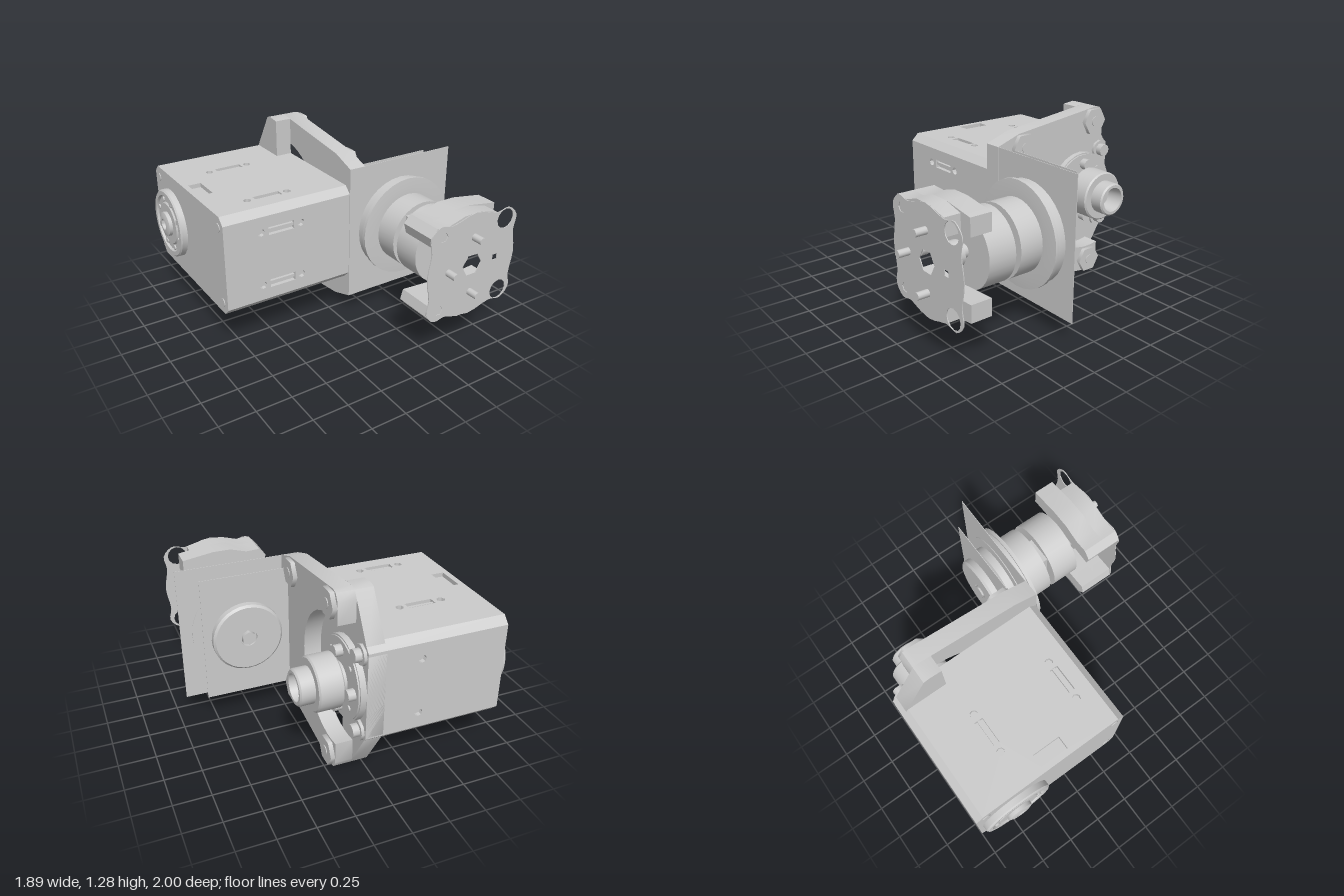
import * as THREE from 'three';
import { toCreasedNormals } from 'three/addons/utils/BufferGeometryUtils.js';

const grey = new THREE.MeshStandardMaterial({ color: 0xcccccc, side: THREE.DoubleSide });
const V = (p) => p.map(([x, y]) => new THREE.Vector2(x, y));
const MID = 0.64; // height of both axes
const HUB_Z = -0.72; // motor axis
const OUT_X = 0.51; // output axis

export function createModel() {
  const root = new THREE.Group();

  const add = (name, geo, parent = root) => {
    const m = new THREE.Mesh(geo, grey);
    m.name = name;
    parent.add(m);
    return m;
  };
  const group = (name) => {
    const g = new THREE.Group();
    g.name = name;
    root.add(g);
    return g;
  };
  // extrude a (z, y) outline from x0 to x1
  const extrudeX = (name, pts, x0, x1, parent) => {
    const g = new THREE.ExtrudeGeometry(new THREE.Shape(V(pts.map(([z, y]) => [-z, y]))), { depth: x1 - x0, bevelEnabled: false });
    g.rotateY(Math.PI / 2).translate(x0, 0, 0);
    return add(name, toCreasedNormals(g, 0.6), parent);
  };
  // extrude an (x, y) shape from z0 to z1
  const extrudeZ = (name, shape, z0, z1, parent) => {
    const g = new THREE.ExtrudeGeometry(shape, { depth: z1 - z0, bevelEnabled: false });
    return add(name, toCreasedNormals(g.translate(0, 0, z0), 0.6), parent);
  };
  const cylX = (name, x0, x1, z, y, r, sides = 24, parent = root) =>
    add(name, new THREE.CylinderGeometry(r, r, x1 - x0, sides).rotateZ(-Math.PI / 2).translate((x0 + x1) / 2, y, z), parent);
  const cylZ = (name, z0, z1, x, y, r, sides = 24, parent = root) =>
    add(name, new THREE.CylinderGeometry(r, r, z1 - z0, sides).rotateX(Math.PI / 2).translate(x, y, (z0 + z1) / 2), parent);
  // stepped turned part: profile of [radius, distance along the axis]
  const turned = (name, prof, sides = 32) => toCreasedNormals(new THREE.LatheGeometry(V(prof), sides), 0.6);
  const circle = (x, y, r, n = 16) => {
    const p = new THREE.Path();
    p.setFromPoints(Array.from({ length: n }, (_, i) => new THREE.Vector2(x + r * Math.cos((i / n) * 2 * Math.PI), y + r * Math.sin((i / n) * 2 * Math.PI))));
    return p;
  };
  const rect = (x, y, w, h) => new THREE.Path(V([[x - w / 2, y - h / 2], [x + w / 2, y - h / 2], [x + w / 2, y + h / 2], [x - w / 2, y + h / 2]]));

  // ---- motor housing: chamfered core plus slotted cover plates
  const housing = group('motorHousing');
  const cy = 0.645, cz = -0.43, hy = 0.355, hz = 0.57, c = 0.05, d = 0.03;
  const quarter = [[hz - c, hy - d], [hz - c, hy], [hz, hy - c], [hz - d, hy - c]];
  const ring = [];
  [[1, 1], [1, -1], [-1, -1], [-1, 1]].forEach(([sz, sy]) => {
    const q = quarter.map(([z, y]) => [cz + sz * z, cy + sy * y]);
    ring.push(...(sz * sy > 0 ? q : q.reverse()));
  });
  extrudeX('housingCore', ring, -0.87, 0.08, housing);

  const cover = (name, half, slots, window) => {
    const s = new THREE.Shape(V([[-0.87, -half], [0.08, -half], [0.08, half], [-0.87, half]]));
    slots.forEach((v) => {
      s.holes.push(rect(-0.455, v, 0.19, 0.06), circle(-0.605, v, 0.027, 8), circle(-0.31, v, 0.027, 8));
    });
    if (window !== undefined) s.holes.push(rect(-0.785, window, 0.09, 0.2));
    const m = extrudeZ(name, s, 0, d, housing);
    slots.forEach((v) => add('slotRib', new THREE.BoxGeometry(0.19, 0.02, 0.02).translate(-0.455, v, 0.01), m));
    return m;
  };
  cover('frontCover', hy - c, [-0.195, 0.195]).position.set(0, cy, cz + hz - d);
  const top = cover('topCover', hz - c, [0.2, -0.39], -0.05);
  top.rotation.x = -Math.PI / 2;
  top.position.set(0, cy + hy - d, cz);
  const bottom = cover('bottomCover', hz - c, [-0.2, 0.39], 0.05);
  bottom.rotation.x = Math.PI / 2;
  bottom.position.set(0, cy - hy + d, cz);
  const backShape = new THREE.Shape(V([[-0.87, -hy + c], [0.08, -hy + c], [0.08, hy - c], [-0.87, hy - c]]));
  for (const v of [-0.195, 0.195]) backShape.holes.push(circle(-0.28, v, 0.027, 8));
  extrudeZ('backCover', backShape, 0, d, housing).position.set(0, cy, cz - hz);

  // ---- side hub on the closed end
  const hub = add('endHub', turned('endHub', [[0.04, 0.02], [0.04, 0.08], [0.06, 0.08], [0.09, 0.07], [0.09, 0.045], [0.15, 0.045], [0.16, 0.035], [0.2, 0.035], [0.21, 0.05], [0.24, 0.05], [0.25, 0.04], [0.25, 0]]));
  hub.rotation.z = Math.PI / 2;
  hub.position.set(-0.87, MID, HUB_Z);
  cylX('endShaft', -0.92, -0.87, HUB_Z, MID, 0.04, 6);
  for (let i = 0; i < 8; i++) {
    const a = (i + 0.5) * Math.PI / 4;
    cylX('hubScrew', -0.915, -0.89, HUB_Z + 0.18 * Math.cos(a), MID + 0.18 * Math.sin(a), 0.02, 8);
  }
  for (const y of [0.37, 0.92]) for (const z of [-0.93, 0.07]) cylX('cornerScrew', -0.875, -0.86, z, y, 0.03, 12);

  // ---- mounting bracket: C-shaped side plate and rear column
  const bracket = group('mountingBracket');
  const cShape = [[-0.82, 1.22], [-0.79, 1.27], [-0.75, 1.28], [-0.03, 1.19], [0.145, 1.13], [0.145, 0.15], [-0.03, 0.09], [-0.75, 0], [-0.79, 0.01], [-0.82, 0.06]];
  for (let i = 0; i <= 24; i++) {
    const a = -1.8 + (3.6 * i) / 24;
    cShape.push([HUB_Z + 0.44 * Math.cos(a), MID + 0.44 * Math.sin(a)]);
  }
  extrudeX('sidePlate', cShape, 0.08, 0.2, bracket);
  extrudeX('rearColumn', [[-0.66, 1.27], [-0.75, 1.28], [-0.79, 1.27], [-1, 0.93], [-1, 0.35], [-0.79, 0.01], [-0.75, 0], [-0.66, 0.01]], -0.04, 0.08, bracket);
  for (const s of [1, -1]) {
    for (const [z, dy] of [[-0.07, 0.455], [-0.72, 0.54]]) {
      cylX('hexBoss', 0.19, 0.23, z, MID + s * dy, 0.1, 6, bracket);
      cylX('bossBolt', 0.2, 0.235, z, MID + s * dy, 0.035, 12, bracket);
    }
    // rear lugs with small screws
    cylX('lug', 0.06, 0.1, -0.92, MID + s * 0.27, 0.07, 8, bracket);
    cylX('lugScrew', 0.1, 0.145, -0.92, MID + s * 0.27, 0.045, 10, bracket);
  }

  // ---- motor output: bolted disc, stepped collar with a bore
  cylX('motorDisc', 0.08, 0.12, HUB_Z, MID, 0.28, 24);
  const collar = add('motorCollar', turned('motorCollar', [[0.27, 0], [0.27, 0.03], [0.11, 0.03], [0.11, 0.07], [0.17, 0.07], [0.18, 0.08], [0.18, 0.23], [0.17, 0.24], [0.12, 0.24], [0.12, 0.33], [0.11, 0.34], [0.09, 0.34], [0.08, 0.22], [0, 0.22]]));
  collar.rotation.z = -Math.PI / 2;
  collar.position.set(0.1, MID, HUB_Z);
  for (let i = 0; i < 8; i++) {
    const a = (i * Math.PI) / 4;
    cylX('discScrew', 0.12, i % 2 ? 0.14 : 0.18, HUB_Z + 0.2 * Math.cos(a), MID + 0.2 * Math.sin(a), i % 2 ? 0.02 : 0.04, 10);
  }

  // ---- thin guard sheets
  add('frontSheet', new THREE.BoxGeometry(0.86, 0.98, 0.004).translate(0.51, 0.64, 0.142));
  add('rearSheet', new THREE.BoxGeometry(0.61, 0.9, 0.004).translate(0.505, 0.64, 0.02));

  // ---- output drive along z
  const drive = add('driveBody', turned('driveBody', [[0, -0.02], [0.06, -0.02], [0.06, -0.04], [0.23, -0.04], [0.245, -0.025], [0.245, 0.07], [0.27, 0.08], [0.27, 0.135], [0.35, 0.135], [0.35, 0.21], [0.365, 0.21], [0.365, 0.235], [0.3, 0.24], [0.25, 0.24], [0.25, 0.41], [0, 0.41]]));
  drive.rotation.x = Math.PI / 2;
  drive.position.set(OUT_X, MID, 0);
  cylZ('driveNut', -0.05, -0.02, OUT_X, MID, 0.05, 6);
  add('coupling', new THREE.BoxGeometry(0.19, 0.37, 0.06).translate(0.455, MID, 0.43));
  cylZ('outputDrum', 0.45, 0.65, OUT_X, MID, 0.25, 32);

  // ---- wavy end plate with corner holes
  const tool = group('endPlate');
  const wave = [];
  const q = [[0.37, 0], [0.345, 0.17], [0.36, 0.27], [0.29, 0.34], [0.19, 0.325], [0, 0.37]];
  [[1, 1], [-1, 1], [-1, -1], [1, -1]].forEach(([sx, sy]) => {
    const part = sx * sy > 0 ? q : [...q].reverse();
    part.slice(0, -1).forEach(([x, y]) => wave.push(new THREE.Vector3(OUT_X + sx * x, MID + sy * y, 0)));
  });
  const outline = new THREE.CatmullRomCurve3(wave, true).getPoints(60).slice(0, -1);
  const plate = new THREE.Shape(outline.map((p) => new THREE.Vector2(p.x, p.y)));
  plate.holes.push(circle(OUT_X, MID, 0.08, 6), rect(0.71, MID, 0.04, 0.04));
  for (const s of [1, -1]) plate.holes.push(circle(0.77, MID + s * 0.265, 0.07, 12), circle(0.25, MID + s * 0.265, 0.035, 6));
  extrudeZ('wavyPlate', plate, 0.914, 0.92, tool);

  // arms joining the plate to the drum side, mirrored top and bottom
  for (const s of [1, -1]) {
    const arm = (x1) => new THREE.Shape(V([[0.17, 0.21], [0.15, 0.28], [0.2, 0.335], [0.3, 0.33], [0.42, 0.365], [0.55, 0.365], [x1, 0.33], [x1, 0.21], [0.5, 0.23]].map(([x, y]) => [x, MID + s * y])));
    extrudeZ('armFront', arm(0.69), 0.8, 0.915, tool);
    extrudeZ('armRear', arm(0.78), 0.65, 0.8, tool);
  }
  // pins and centre knob
  for (const [x, y] of [[OUT_X, 0.84], [0.31, MID], [OUT_X, 0.44]]) {
    cylZ('pin', 0.8, 1, x, y, 0.025, 12, tool);
    cylZ('pinHead', 0.8, 0.85, x, y, 0.05, 12, tool);
  }
  cylZ('knobStem', 0.65, 0.72, OUT_X, MID, 0.045, 16, tool);
  cylZ('knob', 0.7, 0.8, OUT_X, MID, 0.085, 16, tool);
  return root;
}
